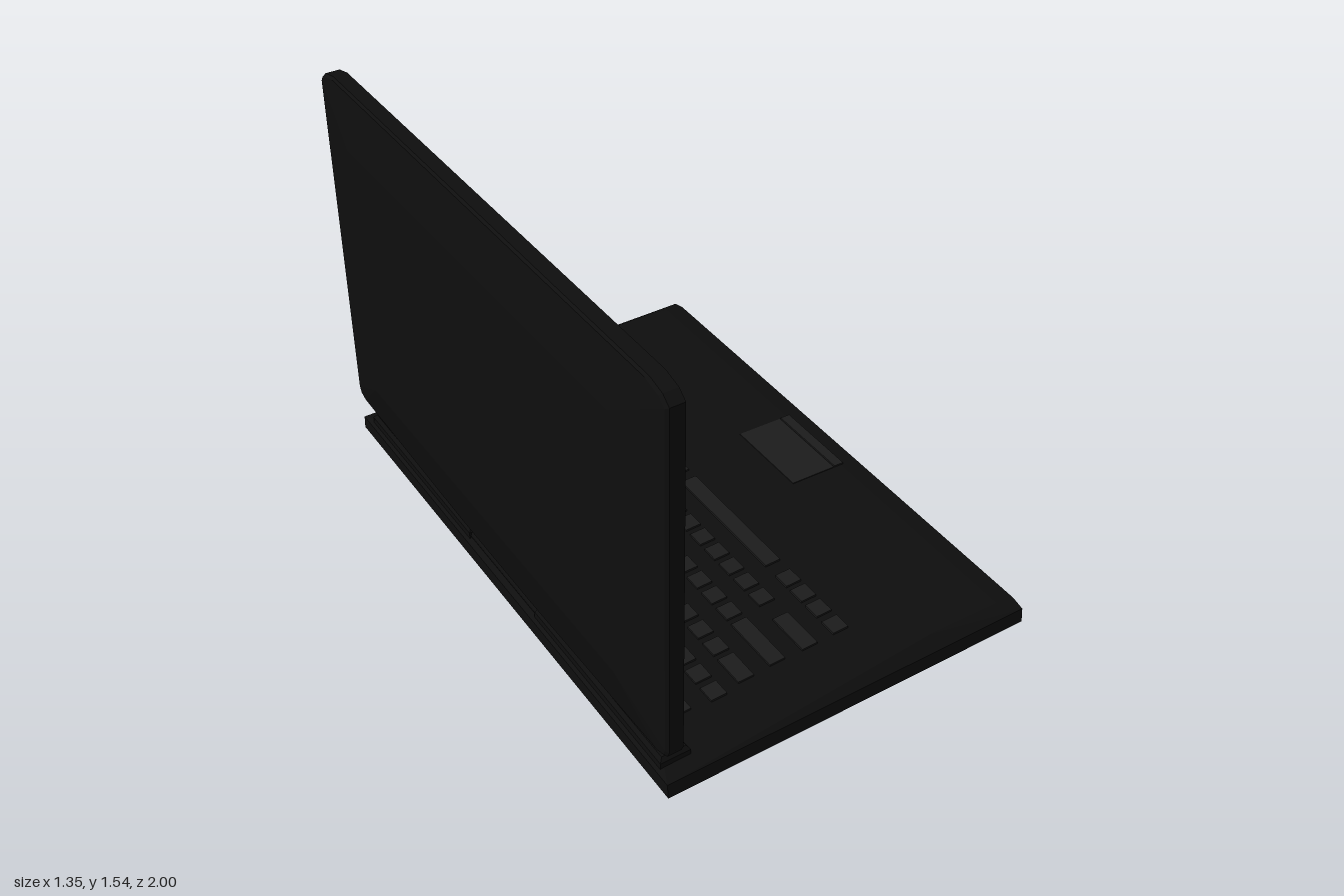
import * as THREE from 'three';
import { ConvexGeometry } from 'three/addons/geometries/ConvexGeometry.js';

const bodyMat = new THREE.MeshStandardMaterial({ color: 0x0e0e0e });
const keyMat = new THREE.MeshStandardMaterial({ color: 0x1c1c1c });
const V = (x, y, z) => new THREE.Vector3(x, y, z);

function add(parent, name, geometry, material = bodyMat) {
  const mesh = new THREE.Mesh(geometry, material);
  mesh.name = name;
  parent.add(mesh);
  return mesh;
}

// four corners of a level rectangle
const rect = (x0, x1, z0, z1, y) => [V(x0, y, z0), V(x1, y, z0), V(x1, y, z1), V(x0, y, z1)];
const hull = (...rings) => new ConvexGeometry(rings.flat());

// deck profile: rises gently to the palm rest, then falls to the front edge
const DECK = [[-0.62, 0.173], [0.34, 0.196], [0.6, 0.189], [0.67, 0.176]];
function deckAt(x) {
  let i = 0;
  while (i < DECK.length - 2 && x > DECK[i + 1][0]) i++;
  const [a, b] = [DECK[i], DECK[i + 1]];
  const slope = (b[1] - a[1]) / (b[0] - a[0]);
  return { y: a[1] + slope * (x - a[0]), slope };
}

// thin slab lying on the deck
function slab(parent, name, x, z, w, l, h = 0.007) {
  const d = deckAt(x);
  const mesh = add(parent, name, new THREE.BoxGeometry(w, 0.012, l), keyMat);
  mesh.position.set(x, d.y + h - 0.006, z);
  mesh.rotation.z = Math.atan(d.slope);
}

function buildBase(group) {
  const deck = DECK.flatMap(([x, y]) => [V(x, y, 0.95), V(x, y, -0.95)]);
  add(group, 'base', hull(
    rect(-0.58, 0.61, -0.9, 0.9, 0.05),
    rect(-0.64, 0.67, -1, 1, 0.115),
    rect(-0.64, 0.67, -0.995, 0.995, 0.165),
    deck,
  ));
  // rubber feet
  for (const x of [-0.415, 0.447]) for (const z of [-0.645, 0.645]) {
    const ring = (w, l, y) => rect(x - w, x + w, z - l, z + l, y);
    add(group, 'foot', hull(ring(0.06, 0.085, 0.06), ring(0.053, 0.075, 0.03),
      ring(0.043, 0.062, 0.007), ring(0.032, 0.05, 0)));
  }
  // tapered raised covers behind the keyboard
  for (const s of [-1, 1]) {
    const ring = (inset, y) => [
      V(-0.628 + inset, y, s * (0.215 + inset)), V(-0.59 - inset, y, s * (0.215 + inset)),
      V(-0.525 - inset, y, s * (0.94 - inset)), V(-0.628 + inset, y, s * (0.94 - inset)),
    ];
    add(group, 'hingeCover', hull(ring(0, 0.16), ring(0, 0.193), ring(0.01, 0.207)));
  }
}

function buildKeyboard(group) {
  const run = (from, to, step) => {
    const out = [];
    for (let z = from; z < to; z += step) out.push(z);
    return out;
  };
  const pad = [-0.79, -0.705, -0.62, -0.535];
  // per column: centre x, key width, ordinary key positions, long keys [z, length]
  const columns = [
    [-0.449, 0.03, [...pad, -0.385, -0.3, ...run(-0.195, 0.8, 0.0812)], []],
    [-0.342, 0.056, [...pad, ...run(-0.215, 0.8, 0.083)], [[-0.36, 0.125]]],
    [-0.235, 0.056, [...pad.slice(1), ...run(-0.38, 0.66, 0.0845)], [[0.74, 0.11]]],
    [-0.118, 0.056, [...pad.slice(1), ...run(-0.215, 0.62, 0.083)], [[-0.36, 0.12], [0.715, 0.15]]],
    [0, 0.056, [...pad.slice(1), ...run(-0.21, 0.6, 0.083)], [[-0.353, 0.145], [0.715, 0.155]]],
    [0.118, 0.056, [-0.705, -0.62, -0.465, -0.13, 0.515, 0.595, 0.675, 0.76],
      [[-0.26, 0.15], [0.187, 0.49]]],
    [0.2, 0.056, [-0.545, -0.465, -0.385], []],
  ];
  for (const [x, w, keys, longs] of columns) {
    for (const z of keys) slab(group, 'key', x, z, w, w < 0.04 ? 0.045 : 0.06);
    for (const [z, l] of longs) slab(group, 'longKey', x, z, w, l);
  }
  // wide keys of the number pad
  slab(group, 'wideKey', -0.177, -0.79, 0.172, 0.06);
  slab(group, 'wideKey', 0.059, -0.79, 0.172, 0.06);
}

function buildScreen(group) {
  // lid outline as [z, y], one half
  const half = [[0.23, 0.245], [0.96, 0.265], [0.99, 0.277], [1, 0.3], [1, 1.5], [0.97, 1.525], [0.91, 1.54]];
  const outline = [...half, ...half.map(([z, y]) => [-z, y]).reverse()];
  const ring = (x, k) => outline.map(([z, y]) => V(x, 0.895 + (y - 0.895) * k, z * k));
  const raised = [0.44, 1.36].flatMap((y) => [V(-0.675, y, 0.77), V(-0.675, y, -0.77)]);
  add(group, 'lid', hull(ring(-0.645, 0.99), ring(-0.637, 1), ring(-0.604, 1), raised));

  // bezel frame around the recessed display
  const shape = new THREE.Shape(outline.map(([z, y]) => new THREE.Vector2(z, y)));
  const [w, y0, y1] = [0.93, 0.34, 1.47];
  shape.holes.push(new THREE.Path([[-w, y0], [-w, y1], [w, y1], [w, y0]].map((p) => new THREE.Vector2(...p))));
  const bezel = new THREE.ExtrudeGeometry(shape, { depth: 0.014, bevelEnabled: false });
  bezel.rotateY(Math.PI / 2).translate(-0.604, 0, 0);
  add(group, 'bezel', bezel);
  const display = add(group, 'display', new THREE.BoxGeometry(0.006, y1 - y0, 2 * w));
  display.position.set(-0.604, (y0 + y1) / 2, 0);
}

function buildHinge(group) {
  const plate = add(group, 'hingePlate', new THREE.BoxGeometry(0.016, 0.11, 0.46));
  plate.position.set(-0.612, 0.215, 0);
  plate.rotation.z = 0.25;
  const barrel = add(group, 'hingeBarrel', new THREE.CylinderGeometry(0.018, 0.018, 0.43, 12));
  barrel.rotation.x = Math.PI / 2;
  barrel.position.set(-0.605, 0.18, 0);
}

export function createModel() {
  const model = new THREE.Group();
  model.name = 'laptop';
  const part = (name, build) => {
    const group = new THREE.Group();
    group.name = name;
    build(group);
    model.add(group);
  };
  part('baseUnit', buildBase);
  part('keyboard', buildKeyboard);
  part('screen', buildScreen);
  part('hinge', buildHinge);
  // touchpad with its button strip
  part('touchpadUnit', (g) => {
    slab(g, 'touchpad', 0.484, -0.007, 0.168, 0.314, 0.003);
    slab(g, 'touchpadButton', 0.591, -0.007, 0.036, 0.314, 0.006);
  });
  return model;
}
